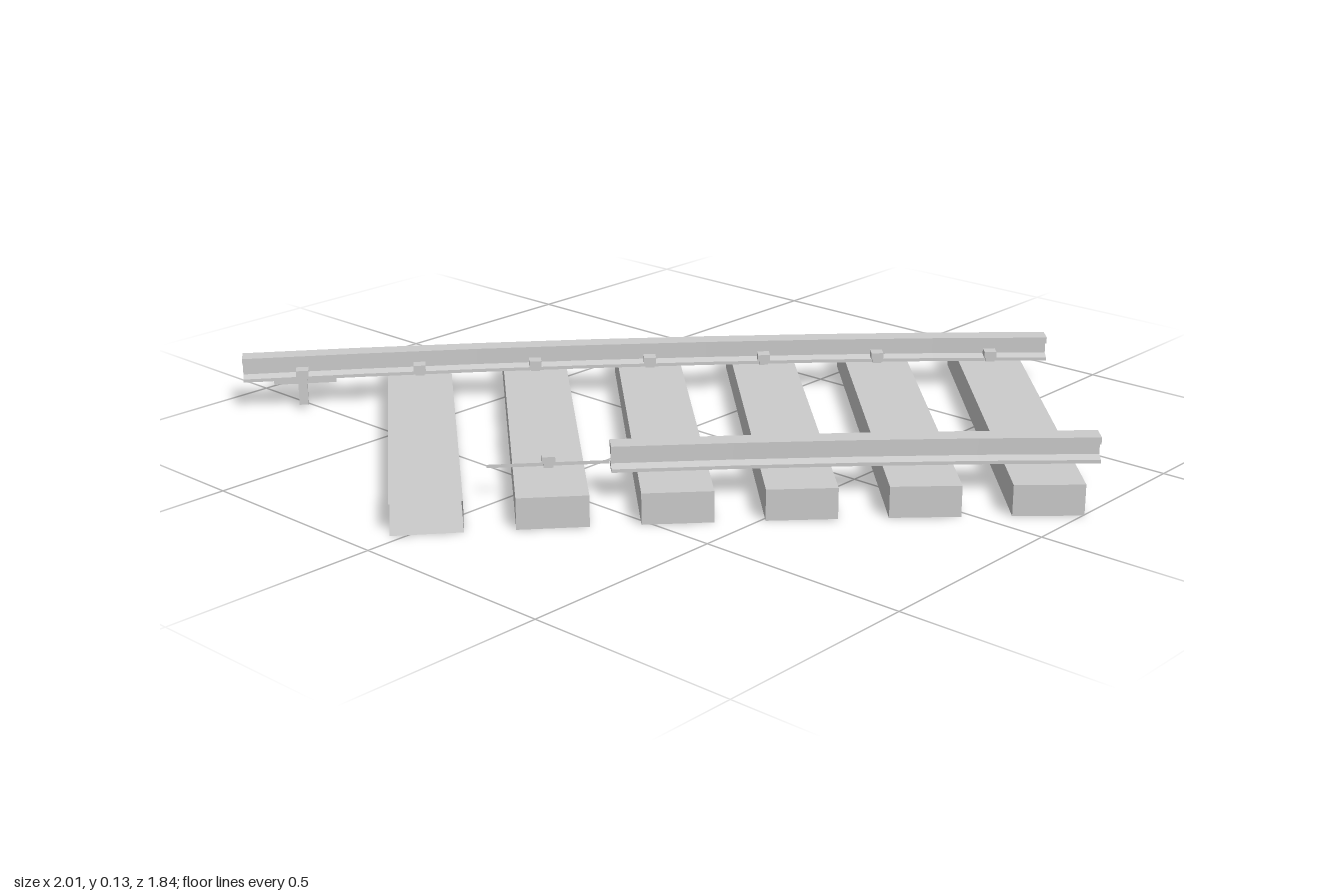
import * as THREE from 'three';

// The track bends round a far-away centre: r is the radius, a the angle.
const CX = 9.088, CZ = 8.539;
const STEP = THREE.MathUtils.degToRad(1.29);
const FIRST = THREE.MathUtils.degToRad(38.985); // angle of tie 0 (mostly broken away)
const R_TIE = 12.4, R_OUTER = 12.765, R_INNER = 12.035;
const TIE = { length: 1.043, height: 0.072, width: 0.157 };

const mat = new THREE.MeshStandardMaterial({ color: 0xcccccc, side: THREE.DoubleSide, flatShading: true });
const tieAngle = (i) => FIRST + i * STEP;

function mesh(name, geometry) {
  const m = new THREE.Mesh(geometry, mat);
  m.name = name;
  return m;
}

// Put an object on the curve: its x points outward, its z along the track
function place(object, r, a, y = 0) {
  object.position.set(CX - r * Math.cos(a), y, CZ - r * Math.sin(a));
  object.rotation.y = Math.PI - a;
  return object;
}

// Box tie keeping only the listed sides (0 outer end, 1 inner end, 2 top, 3 bottom, 4 and 5 long sides)
function makeTie(name, i, sides = [0, 1, 2, 3, 4, 5]) {
  const geo = new THREE.BoxGeometry(TIE.length, TIE.height, TIE.width);
  const index = Array.from(geo.index.array);
  geo.setIndex(sides.flatMap((s) => index.slice(s * 6, s * 6 + 6)));
  geo.clearGroups();
  return place(mesh(name, geo), R_TIE, tieAngle(i), TIE.height / 2);
}

// I-section rail, extruded in straight steps and then bent round the centre
function makeRail(name, radius, fromTie, toTie) {
  const half = [[0.029, 0.072], [0.029, 0.08], [0.007, 0.086], [0.007, 0.11], [0.024, 0.115], [0.024, 0.131]];
  const outline = [...half, ...half.map(([x, y]) => [-x, y]).reverse()];
  const shape = new THREE.Shape(outline.map(([x, y]) => new THREE.Vector2(x, y)));
  const steps = toTie - fromTie + 1;
  const geo = new THREE.ExtrudeGeometry(shape, { depth: steps, steps, bevelEnabled: false });
  const p = geo.attributes.position;
  for (let k = 0; k < p.count; k++) {
    const r = radius + p.getX(k);
    const a = tieAngle(fromTie - 0.5 + p.getZ(k));
    p.setXYZ(k, CX - r * Math.cos(a), p.getY(k), CZ - r * Math.sin(a));
  }
  geo.computeVertexNormals();
  return mesh(name, geo);
}

// Square spike driven down beside the rail foot, with a wider head
function makeSpike(name, r, i) {
  const g = new THREE.Group();
  g.name = name;
  const shaft = mesh('spikeShaft', new THREE.BoxGeometry(0.022, 0.075, 0.022));
  shaft.position.y = 0.0475;
  const head = mesh('spikeHead', new THREE.BoxGeometry(0.032, 0.016, 0.03));
  head.position.y = 0.091;
  g.add(shaft, head);
  return place(g, r, tieAngle(i));
}

export function createModel() {
  const model = new THREE.Group();
  model.name = 'brokenTrack';

  // Ties: only one end is left of the first, the next is open on two sides
  model.add(makeTie('looseTieEnd', 0, [0]));
  model.add(makeTie('openTie', 1, [0, 2, 3, 4]));
  for (let i = 2; i <= 6; i++) model.add(makeTie('tie', i));

  // Rails: the inner one is broken short
  model.add(makeRail('outerRail', R_OUTER, 0, 6));
  model.add(makeRail('innerRail', R_INNER, 3, 6));

  // Sliver of the inner rail's foot left over the second tie
  const sliver = new THREE.PlaneGeometry(R_INNER * STEP, 0.008).rotateY(Math.PI / 2);
  model.add(place(mesh('railFootSliver', sliver), R_INNER + 0.029, tieAngle(2), 0.076));

  // Spikes on the facing sides of both rails
  for (let i = 0; i <= 6; i++) model.add(makeSpike('outerRailSpike', R_OUTER - 0.027, i));
  for (let i = 2; i <= 6; i++) model.add(makeSpike('innerRailSpike', R_INNER + 0.027, i));

  return model;
}
